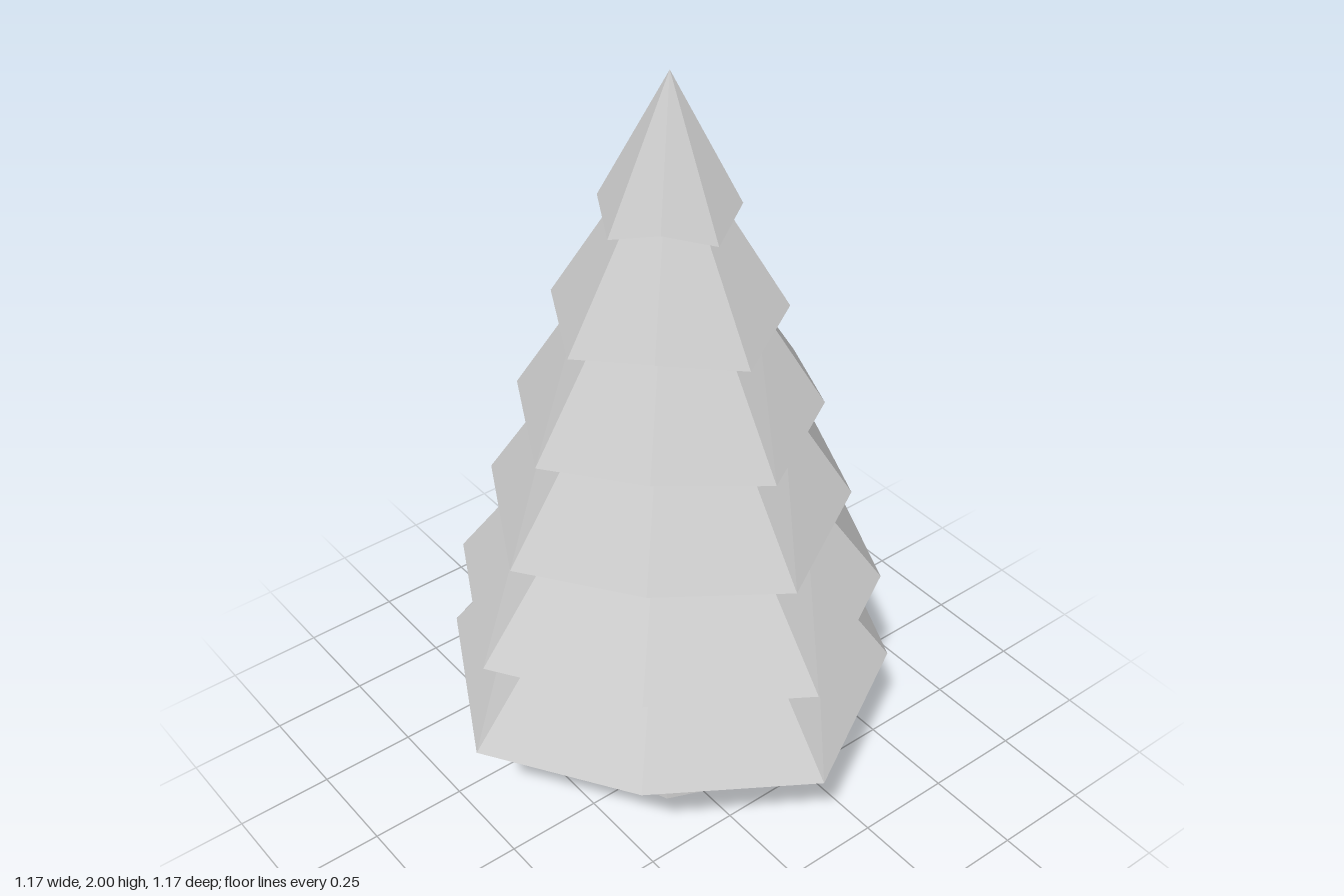
import * as THREE from 'three';

const SIDES = 8;

// Flat-shaded skin through octagonal rings, listed from the underside upward.
// Ring: [radius at axes, y at axes, radius at diagonals, y at diagonals]
function ringSkin(name, rings, material) {
  const pos = [];
  const point = ([r, y, rd, yd], i) => {
    const a = (i / SIDES) * Math.PI * 2;
    const odd = i % 2 === 1;
    const radius = odd ? rd : r;
    return [radius * Math.sin(a), odd ? yd : y, radius * Math.cos(a)];
  };
  for (let k = 0; k < rings.length - 1; k++) {
    const low = rings[k], high = rings[k + 1];
    for (let i = 0; i < SIDES; i++) {
      const a = point(low, i), b = point(low, i + 1);
      const c = point(high, i + 1), d = point(high, i);
      // Split neighbouring quads in mirrored directions
      if (low[0] === 0) pos.push(...a, ...c, ...d);
      else if (high[0] === 0) pos.push(...a, ...b, ...c);
      else if (i % 2 === 0) pos.push(...a, ...b, ...c, ...a, ...c, ...d);
      else pos.push(...a, ...b, ...d, ...b, ...c, ...d);
    }
  }
  const geometry = new THREE.BufferGeometry();
  geometry.setAttribute('position', new THREE.Float32BufferAttribute(pos, 3));
  geometry.computeVertexNormals();
  const mesh = new THREE.Mesh(geometry, material);
  mesh.name = name;
  return mesh;
}

export function createModel() {
  const tree = new THREE.Group();
  tree.name = 'pineTree';
  const material = new THREE.MeshStandardMaterial({ color: 0xcccccc, flatShading: true });

  // Drooping rims, and the narrow necks on which the next tier sits
  const rims = [
    [0.585, 0.398, 0.545, 0.444],
    [0.549, 0.651, 0.512, 0.693],
    [0.459, 0.901, 0.428, 0.944],
    [0.377, 1.154, 0.354, 1.196],
    [0.28, 1.404, 0.266, 1.45],
    [0.167, 1.659, 0.157, 1.7],
  ];
  const necks = [
    [0.39, 0.462, 0.39, 0.462],
    [0.34, 0.7, 0.352, 0.7],
    [0.307, 0.952, 0.317, 0.952],
    [0.248, 1.205, 0.257, 1.205],
    [0.183, 1.458, 0.19, 1.458],
    [0.102, 1.708, 0.107, 1.708],
    [0, 2, 0, 2],
  ];

  // Branch tiers; the lowest has a closed underside
  rims.forEach((rim, i) => {
    const rings = [necks[i], rim, necks[i + 1]];
    if (i === 0) rings.unshift([0, 0.462, 0, 0.462]);
    tree.add(ringSkin(`branchTier${i + 1}`, rings, material));
  });

  // Trunk, flared at the foot and set slightly back
  const trunkProfile = [[0, 0], [0.147, 0], [0.132, 0.24], [0.13, 0.47]];
  const trunk = ringSkin('trunk', trunkProfile.map(([r, y]) => [r, y, r, y]), material);
  trunk.position.z = -0.013;
  tree.add(trunk);

  return tree;
}
